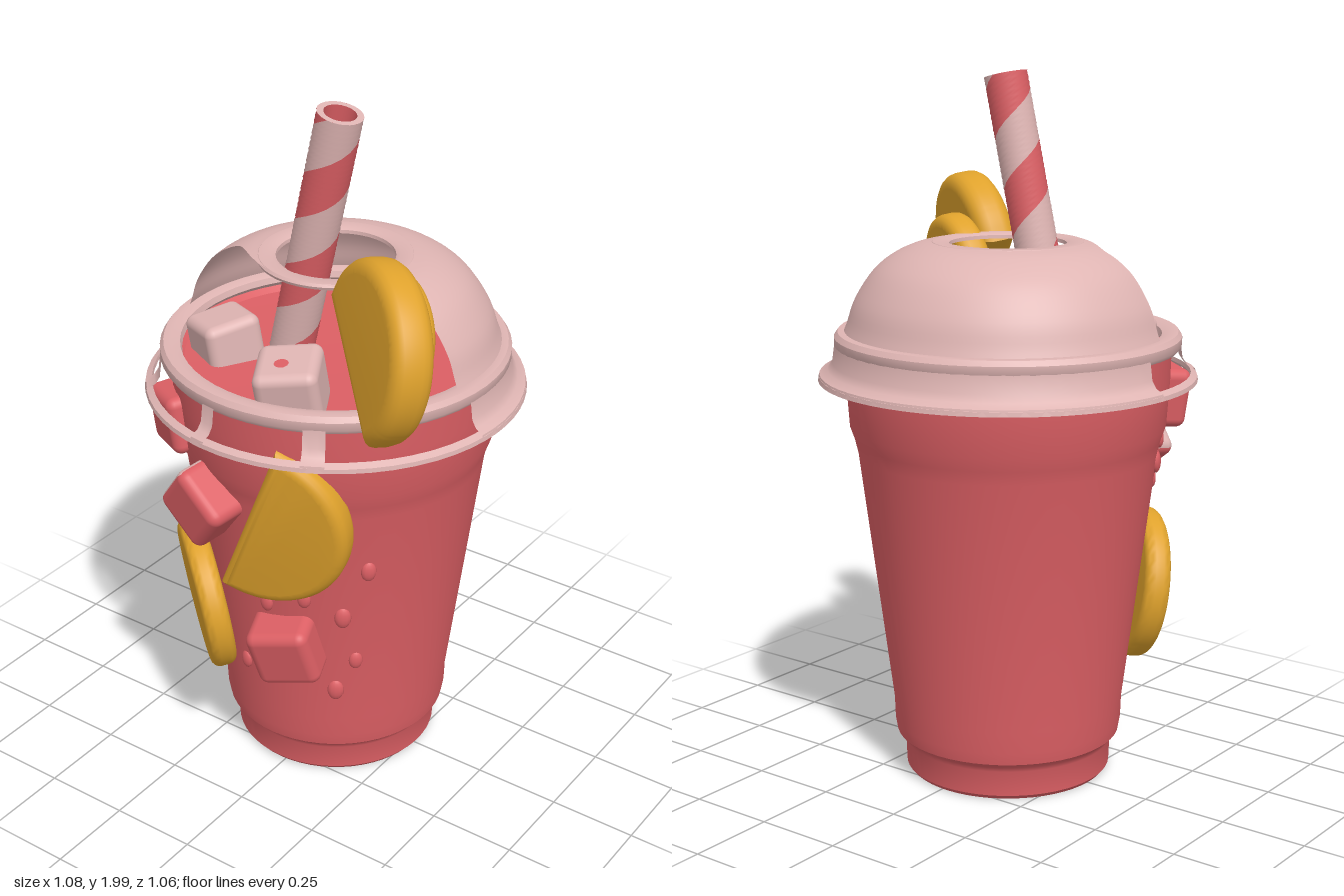
import * as THREE from 'three';
import { toCreasedNormals } from 'three/addons/utils/BufferGeometryUtils.js';
import { RoundedBoxGeometry } from 'three/addons/geometries/RoundedBoxGeometry.js';

const material = (name, color, side = THREE.FrontSide) => {
  const m = new THREE.MeshStandardMaterial({ color, side });
  m.name = name;
  return m;
};

export function createModel() {
  const group = new THREE.Group();
  const red = material('punchRed', 0xdc5f64, THREE.DoubleSide);
  const pink = material('palePink', 0xdfb5b3, THREE.DoubleSide);
  const orange = material('orangeFruit', 0xdfa22c);
  const CX = -0.018; // axis of the cup

  const add = (name, geometry, mat, pos = [0, 0, 0], rot = [0, 0, 0], parent = group) => {
    const mesh = new THREE.Mesh(geometry, mat);
    mesh.name = name;
    mesh.position.set(...pos);
    mesh.rotation.set(rot[0], rot[1], rot[2], 'YXZ');
    parent.add(mesh);
    return mesh;
  };
  const lathe = (points, start = 0, length = Math.PI * 2, segments = 56) => toCreasedNormals(
    new THREE.LatheGeometry(points.map(p => new THREE.Vector2(...p)), segments, start, length), 0.6);
  const deg = d => d * Math.PI / 180;

  // Cup filled with drink
  add('cup', lathe([[0, 0.012], [0.27, 0.012], [0.285, 0.0], [0.295, 0.012], [0.298, 0.085], [0.305, 0.1],
    [0.322, 0.115], [0.328, 0.15], [0.33, 0.21], [0.423, 0.94], [0.432, 0.98], [0.446, 1.02],
    [0.455, 1.15], [0.458, 1.25], [0.44, 1.255]]), red, [CX, 0, 0]);
  add('drinkSurface', lathe([[0.445, 1.255], [0.42, 1.235], [0, 1.225]]), red, [CX, 0, 0]);

  // Lid: rounded ledge, bottom flange and skirt with four windows in front
  const lid = new THREE.Group();
  lid.name = 'lid';
  lid.position.x = CX;
  group.add(lid);
  add('lidLedge', lathe([[0.478, 1.238], [0.486, 1.25], [0.486, 1.272], [0.476, 1.286], [0.455, 1.288],
    [0.43, 1.28], [0.425, 1.262], [0.44, 1.245], [0.478, 1.238]]), pink, [0, 0, 0], [0, 0, 0], lid);
  add('lidFlange', lathe([[0.512, 1.172], [0.53, 1.162], [0.532, 1.15], [0.518, 1.15], [0.51, 1.16], [0.512, 1.172]]),
    pink, [0, 0, 0], [0, 0, 0], lid);
  const skirt = [[0.532, 1.15], [0.528, 1.168], [0.505, 1.18], [0.492, 1.2], [0.485, 1.25]];
  for (const [a, b] of [[82, 268], [-51, -44], [-11, -6], [25, 32]])
    add('lidSkirt', lathe(skirt, deg(a), deg(b - a), b - a > 90 ? 32 : 3), pink, [0, 0, 0], [0, 0, 0], lid);

  // Dome with its front cut away, and the ring round the straw hole
  const profile = new THREE.SplineCurve([[0.46, 1.28], [0.448, 1.31], [0.425, 1.375], [0.375, 1.45], [0.32, 1.495],
    [0.26, 1.522], [0.21, 1.532]].map(p => new THREE.Vector2(...p)));
  const rows = 24, cols = 48;
  const dome = new THREE.PlaneGeometry(1, 1, cols, rows);
  const pos = dome.attributes.position;
  for (let j = 0; j <= rows; j++) {
    const { x: r, y } = profile.getPoint(j / rows);
    const fade = THREE.MathUtils.clamp((0.29 - r) / 0.08, 0, 1);
    const half = Math.PI / 2 + Math.asin(Math.min(1, (0.085 + 0.115 * fade * fade) / r));
    for (let i = 0; i <= cols; i++) {
      const a = Math.PI + (i / cols * 2 - 1) * half;
      pos.setXYZ(j * (cols + 1) + i, r * Math.sin(a), y, r * Math.cos(a));
    }
  }
  // Turn the faces outward
  const index = dome.index.array;
  for (let i = 0; i < index.length; i += 3) [index[i], index[i + 1]] = [index[i + 1], index[i]];
  const outwardCheck = new THREE.Triangle().setFromAttributeAndIndices(pos, index[0], index[1], index[2]);
  const normal = outwardCheck.getNormal(new THREE.Vector3());
  const corner = outwardCheck.a;
  if (normal.x * corner.x + normal.z * corner.z < 0)
    for (let i = 0; i < index.length; i += 3) [index[i], index[i + 1]] = [index[i + 1], index[i]];
  dome.computeVertexNormals();
  add('dome', dome, pink, [0, 0, 0], [0, 0, 0], lid);
  add('strawHoleRing', lathe([[0.213, 1.518], [0.216, 1.526], [0.21, 1.533], [0.175, 1.534], [0.163, 1.528],
    [0.162, 1.518], [0.213, 1.518]]), pink, [0, 0, 0], [0, 0, 0], lid);

  // Straw with two twisted stripes
  const straw = new THREE.Group();
  straw.name = 'straw';
  straw.position.set(-0.012, 1.595, 0.114);
  straw.rotation.z = -0.225;
  group.add(straw);
  const L = 0.79, R = 0.062;
  [red, pink].forEach((mat, k) => {
    const g = new THREE.CylinderGeometry(R, R, L, 12, 48, true, k * Math.PI, Math.PI);
    const p = g.attributes.position, n = g.attributes.normal, v = new THREE.Vector3();
    for (let i = 0; i < p.count; i++) {
      const turn = p.getY(i) / 0.28 * Math.PI * 2 + 0.6;
      for (const attr of [p, n]) {
        v.fromBufferAttribute(attr, i).applyAxisAngle(THREE.Object3D.DEFAULT_UP, turn);
        attr.setXYZ(i, v.x, v.y, v.z);
      }
    }
    add('strawStripe', g, mat, [0, 0, 0], [0, 0, 0], straw);
  });
  add('strawInside', new THREE.CylinderGeometry(0.044, 0.044, L, 24, 1, true), red, [0, 0, 0], [0, 0, 0], straw);
  add('strawRim', new THREE.RingGeometry(0.044, R, 24), pink, [0, L / 2, 0], [-Math.PI / 2, 0, 0], straw);

  // Fruit slices: discs with rounded edges, optionally cut by a chord
  const slice = (name, r, thick, halfAngle, position, rotation) => {
    const bevel = thick * 0.35;
    const shape = new THREE.Shape();
    shape.absarc(0, 0, r - bevel, -halfAngle, halfAngle, false);
    const g = new THREE.ExtrudeGeometry(shape, { depth: thick - 2 * bevel, bevelEnabled: true,
      bevelSize: bevel, bevelThickness: bevel, bevelSegments: 4, curveSegments: 40 });
    g.translate(0, 0, bevel - thick / 2);
    add(name, toCreasedNormals(g, 0.8), orange, position, rotation);
  };
  slice('garnishSlice', 0.24, 0.115, 1.87, [0.31, 1.445, 0.285], [-0.15, -0.58, 0.89]);
  slice('garnishSliceBack', 0.17, 0.09, Math.PI, [0.25, 1.41, 0.125], [-0.15, -0.5, 0]);
  slice('halfSlice', 0.26, 0.09, Math.PI / 2, [0.025, 0.91, 0.412], [0.12, 0.24, -0.38]);
  slice('wholeSlice', 0.22, 0.075, Math.PI, [-0.255, 0.515, 0.315], [0.15, -0.72, 0]);

  // Ice cubes, above the drink and pressed against the wall
  const cube = (name, size, mat, position, rotation) =>
    add(name, new RoundedBoxGeometry(size, size, size, 4, size * 0.16), mat, position, rotation);
  cube('floatingIce', 0.165, pink, [-0.27, 1.26, 0.17], [0.12, -0.45, 0.1]);
  cube('floatingIce', 0.175, pink, [0.065, 1.285, 0.32], [0.15, 0.5, 0.12]);
  add('iceStain', new THREE.CircleGeometry(0.02, 10), red, [0.07, 1.377, 0.37], [-Math.PI / 2 + 0.15, 0, 0]);
  cube('wallIce', 0.185, [red, pink, red, red, red, red], [-0.15, 0.915, 0.405], [0.12, -0.2, -0.68]);
  cube('wallIce', 0.185, red, [0.07, 0.495, 0.35], [0.2, 0.35, 0.22]);
  cube('wallIce', 0.17, red, [-0.3, 1.09, 0.305], [0.1, -0.5, 0.1]);

  // Droplets on the front wall: angle in degrees, height, size
  for (const [angle, y, s] of [[-62, 0.92, 0.024], [-50, 0.85, 0.02], [-35, 0.76, 0.022], [48, 0.76, 0.022],
    [38, 0.6, 0.024], [44, 0.44, 0.02], [35, 0.33, 0.024], [-8, 0.68, 0.026], [5, 0.62, 0.02], [-12, 0.36, 0.02],
    [-58, 0.98, 0.02], [22, 0.66, 0.02]]) {
    const r = 0.33 + (y - 0.21) * 0.127, a = deg(angle);
    const drop = add('droplet', new THREE.SphereGeometry(s, 12, 8), red,
      [CX + r * Math.sin(a), y, r * Math.cos(a)], [0, a, 0]);
    drop.scale.set(1, 1.4, 0.6);
  }
  return group;
}
